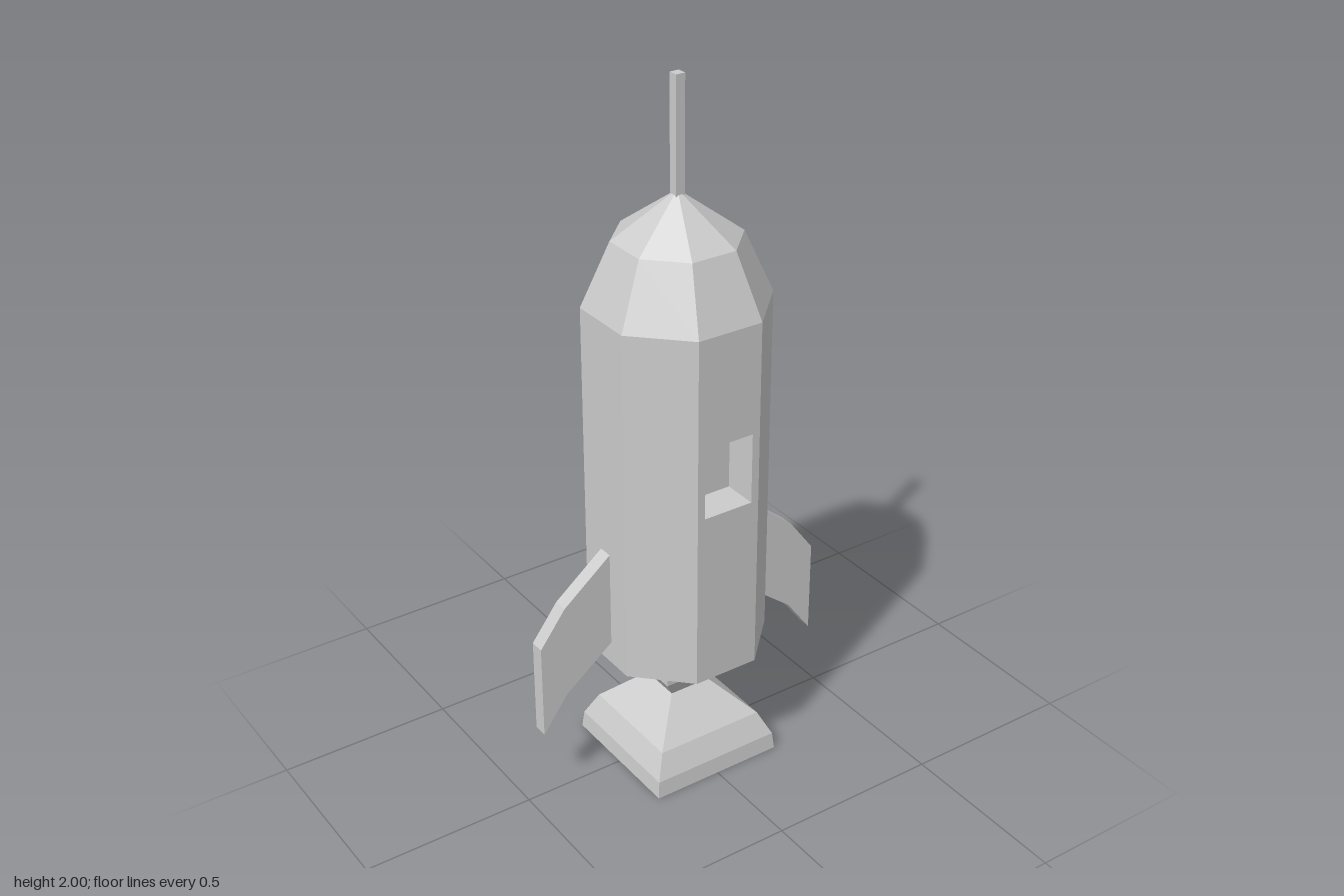
import * as THREE from 'three';

const mat = new THREE.MeshStandardMaterial({ color: 0xcccccc, flatShading: true });

function add(parent, name, geometry) {
  const mesh = new THREE.Mesh(geometry, mat);
  mesh.name = name;
  parent.add(mesh);
  return mesh;
}

// Flat-sided turned form; profile is [distance to the flat side, y].
// With skip set, the side facing +z is left out.
function prism(profile, sides, skip = 0) {
  const half = Math.PI / sides;
  const points = profile.map(([r, y]) => new THREE.Vector2(r / Math.cos(half), y));
  return new THREE.LatheGeometry(points, sides - skip, half, 2 * half * (sides - skip));
}

const corners = (x0, x1, y0, y1) =>
  [[x0, y0], [x1, y0], [x1, y1], [x0, y1]].map(([x, y]) => new THREE.Vector2(x, y));

export function createModel() {
  const rocket = new THREE.Group();
  rocket.name = 'rocket';

  // Octagonal hull
  const R = 0.233, bottom = 0.37, top = 1.4;
  add(rocket, 'noseCone', prism([[R, top], [0.16, 1.575], [0, 1.7]], 8));
  add(rocket, 'body', prism([[R, bottom], [R, top]], 8, 1));
  add(rocket, 'bodyUnderside', prism([[0, 0.3], [0.1, 0.305], [R, bottom]], 8));

  // Front panel with the window opening
  const w = R * Math.tan(Math.PI / 8);
  const winX = 0.074, winLow = 0.884, winHigh = 1.088, depth = 0.1;
  const panel = new THREE.Shape(corners(-w, w, bottom, top));
  panel.holes.push(new THREE.Path(corners(-winX, winX, winLow, winHigh)));
  add(rocket, 'frontPanel', new THREE.ShapeGeometry(panel)).position.z = R;

  // Window recess: a box without its front, turned inside out
  const recess = new THREE.BoxGeometry(2 * winX, winHigh - winLow, depth);
  const faces = Array.from(recess.index.array).filter((_, i) => i < 24 || i >= 30);
  recess.setIndex(faces.reverse());
  recess.clearGroups();
  const inside = recess.toNonIndexed();
  inside.computeVertexNormals();
  add(rocket, 'windowRecess', inside).position.set(0, (winLow + winHigh) / 2, R - depth / 2);

  // Antenna
  add(rocket, 'antenna', new THREE.BoxGeometry(0.027, 0.32, 0.027)).position.y = 1.84;

  // Square engine throat and hollow bell
  add(rocket, 'engineThroat', prism([[0.062, 0.218], [0.108, 0.29], [0.108, 0.35]], 4));
  add(rocket, 'engineBell', prism([
    [0, 0.2], [0.05, 0.2], [0.15, 0.11], [0.182, 0.045], [0.188, 0],
    [0.2, 0], [0.195, 0.05], [0.163, 0.118], [0.062, 0.218],
  ], 4));

  // Swept fins on both sides
  const outline = [[0.22, 0.73], [0.22, 0.448], [0.377, 0.325], [0.454, 0.22],
    [0.454, 0.5], [0.377, 0.603]];
  const fin = new THREE.ExtrudeGeometry(
    new THREE.Shape(outline.map(([x, y]) => new THREE.Vector2(x, y))),
    { depth: 0.042, bevelEnabled: false });
  fin.translate(0, 0, -0.021);
  add(rocket, 'leftFin', fin);
  add(rocket, 'rightFin', fin).rotation.y = Math.PI;

  return rocket;
}
